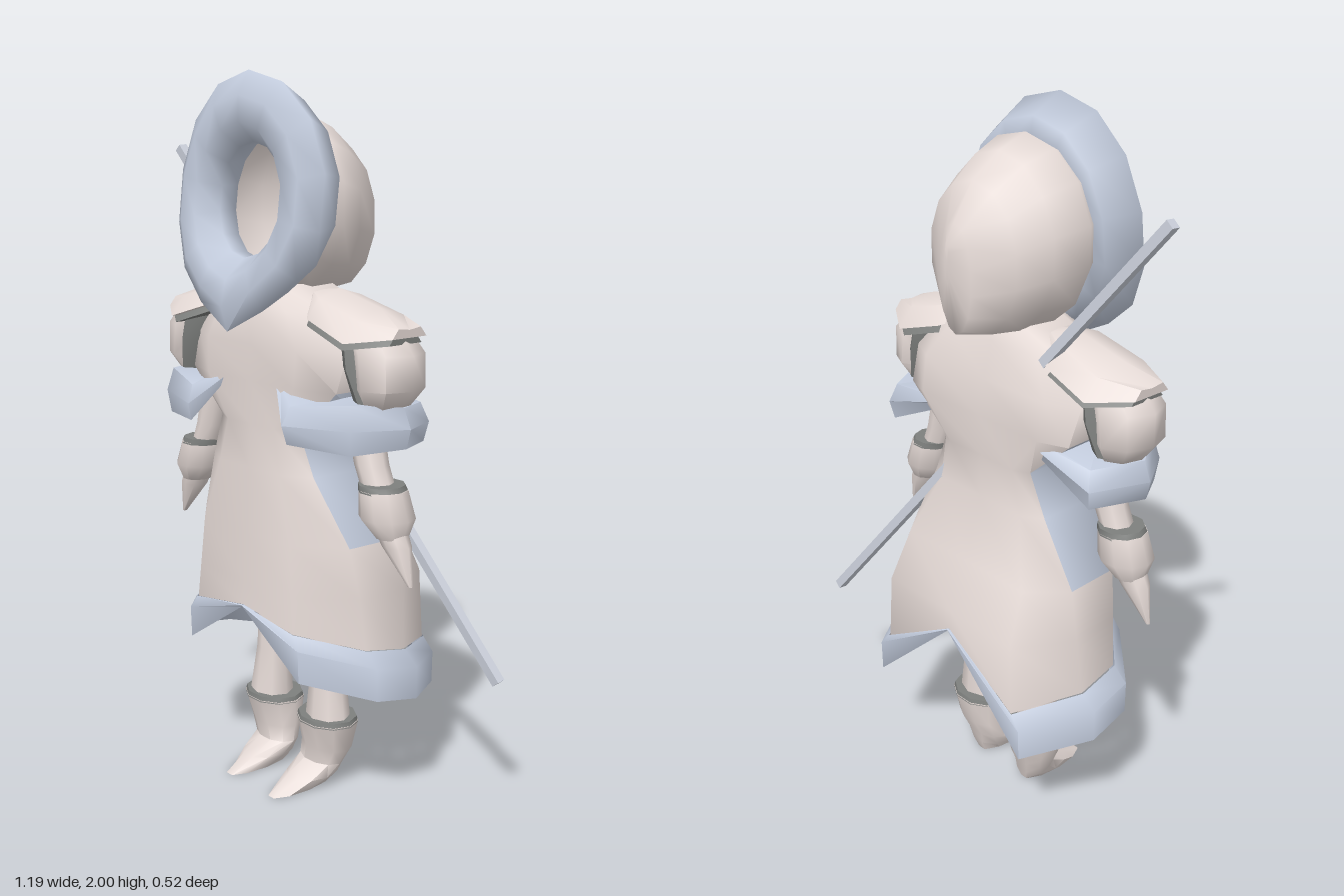
import * as THREE from 'three';
import { toCreasedNormals } from 'three/addons/utils/BufferGeometryUtils.js';

function mat(name, color) {
  const m = new THREE.MeshStandardMaterial({ color, side: THREE.DoubleSide });
  m.name = name;
  return m;
}

// Skins a list of closed rings (arrays of [x, y, z]); painted(i, j) selects faces for material 1
function skin(rings, { flip = false, capStart = false, capEnd = false, loop = false, painted = null, crease = 1 } = {}) {
  const n = rings[0].length, pos = rings.flat(), faces = [[], []];
  const tri = (g, a, b, c) => faces[g].push(...(flip ? [a, c, b] : [a, b, c]));
  const count = loop ? rings.length : rings.length - 1;
  for (let i = 0; i < count; i++) {
    const k = (i + 1) % rings.length;
    for (let j = 0; j < n; j++) {
      const j2 = (j + 1) % n, g = painted && painted(i, j) ? 1 : 0;
      tri(g, i * n + j, i * n + j2, k * n + j);
      tri(g, i * n + j2, k * n + j2, k * n + j);
    }
  }
  const cap = (r, end) => {
    const c = pos.length;
    pos.push([0, 1, 2].map(d => rings[r].reduce((s, p) => s + p[d], 0) / n));
    for (let j = 0; j < n; j++) {
      const a = r * n + j, b = r * n + (j + 1) % n;
      end ? tri(0, c, a, b) : tri(0, c, b, a);
    }
  };
  if (capStart) cap(0, false);
  if (capEnd) cap(rings.length - 1, true);
  const geo = new THREE.BufferGeometry();
  geo.setAttribute('position', new THREE.Float32BufferAttribute(pos.flat(), 3));
  geo.setIndex([...faces[0], ...faces[1]]);
  if (painted) {
    geo.addGroup(0, faces[0].length, 0);
    geo.addGroup(faces[0].length, faces[1].length, 1);
  }
  return toCreasedNormals(geo, crease);
}

// Horizontal elliptical rings, listed from top to bottom as [x, y, z, rx, rz]
function limb(list, s, n = 10) {
  const rings = list.map(([x, y, z, rx, rz]) => Array.from({ length: n }, (_, j) => {
    const a = j / n * Math.PI * 2;
    return [s * (x + rx * Math.cos(a)), y, z + rz * Math.sin(a)];
  }));
  return skin(rings, { flip: s < 0, capStart: true, capEnd: true });
}

// Coat outline from above, front centre to back centre, mirrored; side is the half depth of the flat flank
function coatRing(y, rx, zf, zb, side = 0.76) {
  const columns = [[0, 1], [0.58, 1], [0.97, side], [1, -side], [0.73, -1], [0, -0.97]];
  const half = columns.map(([u, w], i) => [u * rx, Array.isArray(y) ? y[i] : y, w > 0 ? w * zf : -w * zb]);
  return [...half.map(([x, h, z]) => [-x, h, z]), ...half.slice(1, -1).reverse()];
}

export function createModel() {
  const cloth = mat('paleCloth', 0xe6dbd7);
  const fur = mat('blueGreyFur', 0xc2cbdc);
  const steel = mat('staffGrey', 0xccd1dc);
  const trim = mat('darkTrim', 0x7e807e);
  const model = new THREE.Group();
  model.name = 'hoodedTraveller';
  const body = new THREE.Group();
  body.name = 'figure';
  body.position.x = -0.04;
  model.add(body);
  const add = (name, geo, material, parent = body) => {
    const m = new THREE.Mesh(geo, material);
    m.name = name;
    parent.add(m);
    return m;
  };

  // Coat with blue side panels below the arms
  const hemTop = [0.56, 0.53, 0.49, 0.465, 0.43, 0.575];
  const hemLow = [0.555, 0.4, 0.36, 0.335, 0.3, 0.57];
  const coat = [
    coatRing(1.45, 0.1, 0.11, -0.05), coatRing(1.39, 0.23, 0.155, -0.08, 0.6),
    coatRing(1.29, 0.32, 0.163, -0.11, 0.6), coatRing(1.19, 0.31, 0.167, -0.13, 0.75),
    coatRing(1.07, 0.17, 0.165, -0.12, 0.8), coatRing(0.95, 0.22, 0.172, -0.125, 0.72),
    coatRing(0.77, 0.32, 0.185, -0.185, 0.45), coatRing(0.63, 0.345, 0.19, -0.245, 0.35),
    coatRing(hemTop, 0.36, 0.195, -0.25, 0.3),
  ];
  add('coat', skin(coat, {
    capStart: true, crease: 1.4,
    painted: (i, j) => i >= 3 && i <= 5 && (j === 2 || j === 7),
  }), [cloth, fur]);

  // Fur hem, notched at the front and back
  const midHem = hemTop.map((y, i) => y * 0.7 + hemLow[i] * 0.3);
  add('hemFur', skin([
    coatRing(hemTop, 0.365, 0.197, -0.252, 0.3), coatRing(midHem, 0.41, 0.203, -0.257, 0.3),
    coatRing(hemLow, 0.41, 0.2, -0.255, 0.3), coatRing(midHem, 0.35, 0.185, -0.235, 0.3),
  ], { crease: 1.2 }), fur);

  // Hood, open at the front and narrowing to a ridge at the back
  const N = 14;
  const hoodRings = [
    [0.1, 1.67, 0.2, 0.21], [0.04, 1.663, 0.24, 0.25], [-0.05, 1.645, 0.205, 0.235],
    [-0.14, 1.62, 0.165, 0.2], [-0.2, 1.58, 0.062, 0.145], [-0.225, 1.625, 0.008, 0.05],
  ].map(([z, cy, rx, ry]) => Array.from({ length: N }, (_, j) => {
    const a = j / N * Math.PI * 2 + Math.PI / 2;
    return [rx * Math.cos(a), cy + ry * Math.sin(a), z];
  }));
  add('hood', skin(hoodRings, { flip: true, capEnd: true, crease: 1.4 }), cloth);

  // Thick fur ring around the face, pointed at the bottom and leaning forwards below
  const section = [[0, -0.04], [0.28, 0.015], [0.65, 0.02], [1, -0.01], [0.72, -0.11], [0.4, -0.125], [0.04, -0.1]];
  const ringRows = Array.from({ length: N }, (_, i) => {
    const a = i / N * Math.PI * 2 + Math.PI / 2, c = Math.cos(a), s = Math.sin(a);
    const point = i === N / 2 ? 0.035 : 0;
    return section.map(([t, dz]) => {
      const x = c * (0.13 + 0.17 * t);
      const y = 1.67 + s * (0.15 + t * ((s > 0 ? 0.18 : 0.155) + point));
      return [x, y, 0.2 - (s > 0 ? 0.09 : 0.15) * (y - 1.67) - 0.28 * x * x + dz];
    });
  });
  add('hoodFur', skin(ringRows, { loop: true, flip: true, crease: 1.6 }), fur);

  for (const s of [1, -1]) {
    const side = s > 0 ? 'left' : 'right';
    const arm = new THREE.Group();
    arm.name = side + 'Arm';
    const leg = new THREE.Group();
    leg.name = side + 'Leg';
    body.add(arm, leg);

    // Shoulder guard: a ridged roof running outwards, with dark trim below its edge
    const roof = [[0.15, 0.06, 1.44, 1.4], [0.21, 0.115, 1.447, 1.375], [0.36, 0.13, 1.41, 1.33], [0.465, 0.06, 1.365, 1.345]];
    const guard = drop => roof.map(([x, w, top, edge]) => [
      [s * x, edge - drop, 0.03 + w], [s * x, (top + edge) / 2 + 0.015 - drop, 0.03 + w * 0.65],
      [s * x, top - drop, 0.03], [s * x, (top + edge) / 2 + 0.015 - drop, 0.03 - w * 0.65],
      [s * x, edge - drop, 0.03 - w],
    ]);
    const ends = { flip: s < 0, capStart: true, capEnd: true, crease: 0.9 };
    add('shoulderGuard', skin(guard(0), ends), cloth, arm);
    add('shoulderTrim', skin(guard(0.018).map(r => r.map(([x, y, z]) => [x * 0.97, y, 0.03 + (z - 0.03) * 0.95])), ends), trim, arm);

    // Puffed upper sleeve with a dark inner lining
    add('upperSleeve', limb([[0.34, 1.36, 0.03, 0.09, 0.08], [0.385, 1.3, 0.03, 0.095, 0.1], [0.395, 1.21, 0.03, 0.085, 0.1], [0.38, 1.16, 0.03, 0.06, 0.07]], s, 8), cloth, arm);
    add('sleeveLining', limb([[0.33, 1.34, 0.03, 0.06, 0.1], [0.345, 1.26, 0.03, 0.06, 0.105], [0.37, 1.17, 0.03, 0.06, 0.085]], s, 8), trim, arm);

    // Fur cuff of the wide sleeve: [x, z, top, bottom], drawn to points at the chest and back
    const plan = [[0.475, 0.03, 1.165, 1.06], [0.39, 0.16, 1.175, 1.045], [0.2, 0.225, 1.155, 1.055],
      [0.11, 0.165, 1.195, 1.18], [0.11, -0.115, 1.195, 1.18], [0.4, -0.115, 1.155, 1.05]];
    const cuff = [[0, 0.88], [0.5, 1], [1, 0.93]].map(([t, k]) => plan.map(([x, z, top, low]) => [
      s * (x > 0.11 ? 0.28 + (x - 0.28) * k : x), top + (low - top) * t, 0.04 + (z - 0.04) * k,
    ]));
    add('sleeveFur', skin(cuff, { flip: s < 0, capStart: true, crease: 1.1 }), fur, arm);

    // Forearm, glove and pointed hand
    add('forearm', limb([[0.3, 1.16, 0.035, 0.05, 0.045], [0.34, 1, 0.035, 0.047, 0.045], [0.375, 0.92, 0.035, 0.045, 0.045]], s, 8), cloth, arm);
    add('gloveTrim', limb([[0.378, 0.955, 0.035, 0.063, 0.063], [0.384, 0.937, 0.035, 0.067, 0.067]], s, 10), trim, arm);
    add('glove', limb([[0.384, 0.942, 0.035, 0.066, 0.066], [0.4, 0.87, 0.035, 0.076, 0.074], [0.418, 0.82, 0.035, 0.042, 0.045]], s, 10), cloth, arm);
    add('hand', limb([[0.415, 0.84, 0.035, 0.045, 0.04], [0.435, 0.8, 0.035, 0.045, 0.035], [0.487, 0.7, 0.035, 0.006, 0.006]], s, 8), cloth, arm);

    // Leg, boot cuff and boot with a pointed toe
    add('shin', limb([[0.11, 0.62, -0.02, 0.03, 0.03], [0.115, 0.5, -0.015, 0.045, 0.045], [0.12, 0.35, -0.015, 0.052, 0.048], [0.125, 0.2, -0.01, 0.07, 0.06]], s, 8), cloth, leg);
    add('bootTrim', limb([[0.118, 0.215, -0.015, 0.092, 0.078], [0.118, 0.198, -0.015, 0.097, 0.082]], s, 10), trim, leg);
    add('boot', limb([[0.118, 0.203, -0.015, 0.097, 0.082], [0.112, 0.12, -0.018, 0.085, 0.06], [0.1, 0.075, -0.01, 0.075, 0.05],
      [0.098, 0.04, 0.027, 0.066, 0.083], [0.095, 0.005, 0.07, 0.04, 0.115]], s, 10), cloth, leg);
  }

  // Staff slung across the back
  const from = new THREE.Vector3(-0.585, 1.8, -0.02), to = new THREE.Vector3(0.58, 0.42, -0.17);
  const staff = add('staff', new THREE.BoxGeometry(0.026, from.distanceTo(to), 0.026), steel, model);
  staff.position.copy(from).add(to).multiplyScalar(0.5);
  staff.quaternion.setFromUnitVectors(new THREE.Vector3(0, 1, 0), from.clone().sub(to).normalize());

  return model;
}
